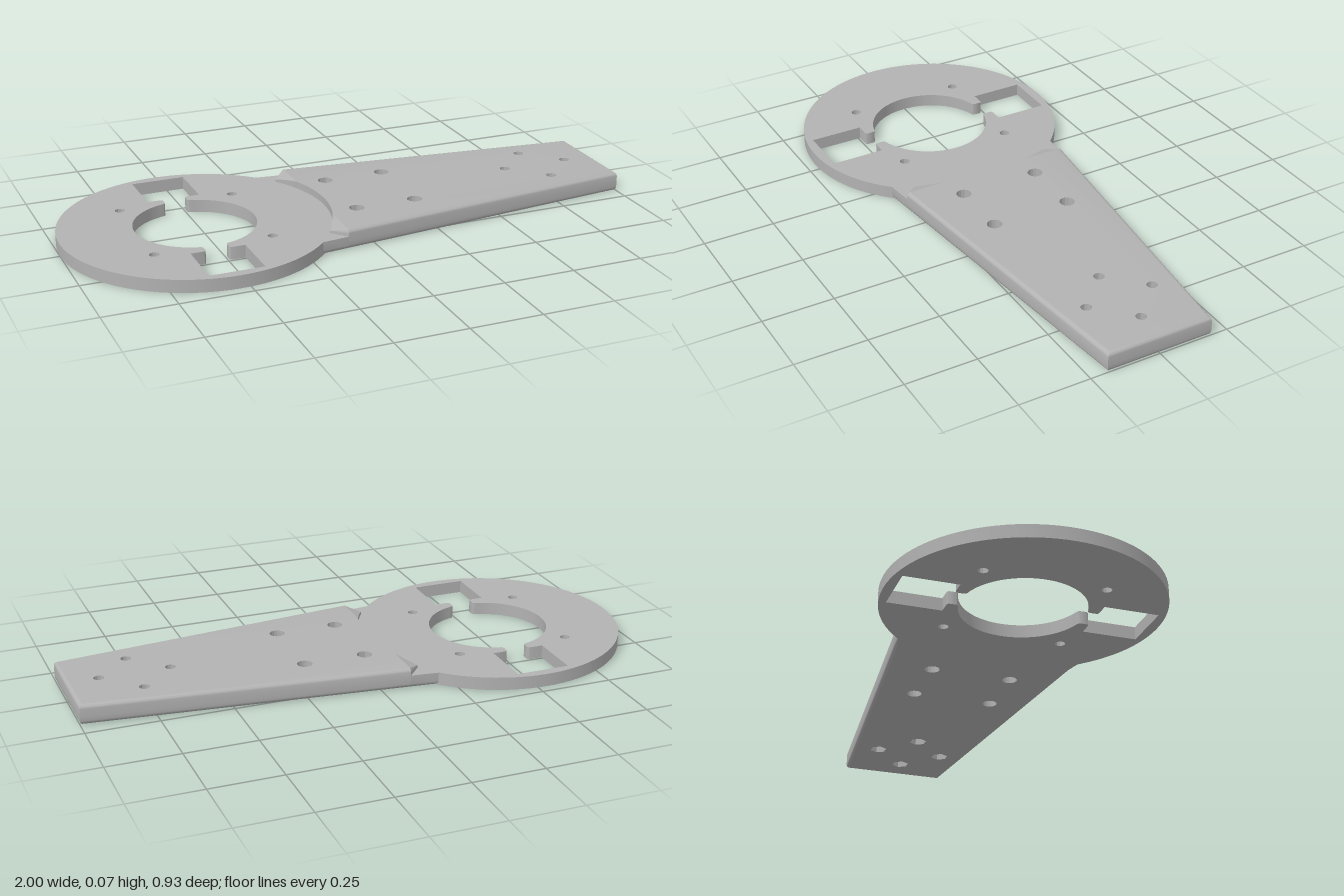
import * as THREE from 'three';
import { toCreasedNormals } from 'three/addons/utils/BufferGeometryUtils.js';

const CX = -0.534, R = 0.466;            // ring centre and outer radius
const RING_H = 0.045, ARM_H = 0.07, POCKET = 0.028, ROUND = 0.014;
const halfWidth = (x) => 0.322 - 0.11 * (x + 0.2);

// how far the arm's rounded rim is set in at height y
function inset(y) {
  const d = Math.max(ROUND - y, y - (ARM_H - ROUND), 0);
  return ROUND - Math.sqrt(Math.max(ROUND * ROUND - d * d, 0));
}

// extrude a plan outline through the given heights, rounding the arm's rim
function slab(shape, levels, rounded, topRule) {
  const geo = new THREE.ExtrudeGeometry(shape, {
    depth: levels.length - 1, steps: levels.length - 1, bevelEnabled: false, curveSegments: 48,
  });
  geo.rotateX(-Math.PI / 2);
  const p = geo.attributes.position;
  for (let i = 0; i < p.count; i++) {
    let x = p.getX(i), z = p.getZ(i);
    let y = levels[Math.round(p.getY(i))];
    if (rounded) {
      const d = inset(y);
      if (Math.abs(Math.abs(z) - halfWidth(x)) < 1e-4) z -= Math.sign(z) * d;
      if (Math.abs(x - 1) < 1e-4) x -= d;
    }
    if (topRule) y = topRule(x, y);
    p.setXYZ(i, x, y, z);
  }
  return toCreasedNormals(geo, 0.6);
}

function circleHole(x, y, r) {
  return new THREE.Path().absarc(x, y, r, 0, Math.PI * 2, true);
}

function hexHole(x, y, r) {
  const pts = [];
  for (let i = 0; i < 6; i++) {
    const a = i * Math.PI / 3;
    pts.push(new THREE.Vector2(x + r * Math.cos(a), y + r * Math.sin(a)));
  }
  return new THREE.Path(pts.concat(pts[0].clone()));
}

// ring with a bore that opens through narrow necks into two square slots
function ringShape() {
  const s = new THREE.Shape().absarc(CX, 0, R, 0, Math.PI * 2, false);
  const bore = new THREE.Path();
  const a = Math.acos(0.05 / 0.21);
  for (const k of [1, -1]) {
    const X = (v) => CX + k * v, Y = (v) => k * v;
    const start = k === 1 ? -a : Math.PI - a;
    bore.absarc(CX, 0, 0.21, start, start + 2 * a, false);
    bore.quadraticCurveTo(X(0.04), Y(0.206), X(0.04), Y(0.216));
    bore.lineTo(X(0.04), Y(0.232));
    bore.quadraticCurveTo(X(0.04), Y(0.243), X(0.05), Y(0.243));
    bore.lineTo(X(0.094), Y(0.243));
    bore.lineTo(X(0.094), Y(0.431));
    bore.lineTo(X(-0.094), Y(0.431));
    bore.lineTo(X(-0.094), Y(0.243));
    bore.lineTo(X(-0.05), Y(0.243));
    bore.quadraticCurveTo(X(-0.04), Y(0.243), X(-0.04), Y(0.232));
    bore.lineTo(X(-0.04), Y(0.216));
    bore.quadraticCurveTo(X(-0.04), Y(0.206), X(-0.05), Y(0.204));
  }
  s.holes.push(bore);
  for (const x of [-0.738, -0.33]) for (const y of [-0.205, 0.205]) s.holes.push(circleHole(x, y, 0.017));
  return s;
}

// tapered arm plan, meeting the ring along its rim
const ARC_R = R - 0.001;
const NOSE_X = -0.1;
const noseAngle = Math.acos((NOSE_X - CX) / ARC_R);

function armShape(endHole) {
  const s = new THREE.Shape();
  s.moveTo(NOSE_X, -halfWidth(NOSE_X));
  s.lineTo(1, -halfWidth(1));
  s.lineTo(1, halfWidth(1));
  s.lineTo(NOSE_X, halfWidth(NOSE_X));
  s.absarc(CX, 0, ARC_R, noseAngle, -noseAngle, true);
  s.closePath();
  for (const x of [0, 0.217]) for (const y of [-0.142, 0.142]) s.holes.push(circleHole(x, y, 0.026));
  for (const [x, y] of [[0.645, 0], [0.89, 0], [0.767, 0.123], [0.767, -0.123]]) s.holes.push(endHole(x, y));
  return s;
}

// corner between ring and arm; side is +1 or -1, innerX is where the arc ends
function cornerShape(side, arcEnd, outer) {
  const s = new THREE.Shape();
  s.moveTo(NOSE_X, side * halfWidth(NOSE_X));
  for (const [x, y] of outer) s.lineTo(x, side * y);
  s.absarc(CX, 0, ARC_R, side * arcEnd, side * noseAngle, side > 0);
  s.closePath();
  return s;
}

export function createModel() {
  const group = new THREE.Group();
  const grey = new THREE.MeshStandardMaterial({ color: 0xb2b2b2 });
  grey.name = 'plain grey';
  const add = (name, geo) => {
    const mesh = new THREE.Mesh(geo, grey);
    mesh.name = name;
    group.add(mesh);
  };

  const low = [0, 0.001, 0.004, 0.008, ROUND];
  const high = low.map((v) => ARM_H - v).reverse();

  add('mountingRing', slab(ringShape(), [0, RING_H], false));

  // lower layer holds the hexagonal nut pockets, upper layer the bolt holes
  add('armLowerLayer', slab(armShape((x, y) => hexHole(x, y, 0.031)), [...low, POCKET], true));
  add('armUpperLayer', slab(armShape((x, y) => circleHole(x, y, 0.018)), [POCKET, ...high], true));

  for (const side of [1, -1]) {
    const label = side > 0 ? 'Back' : 'Front';
    // low web filling the corner beside the ring
    const webAngle = Math.acos((-0.2 - CX) / ARC_R);
    add('cornerWeb' + label, slab(
      cornerShape(side, webAngle, [[-0.2, halfWidth(-0.2)]]), [...low, RING_H], true));
    // sloping nose that rises from the web to the arm's top
    const tip = Math.acos((-0.147 - CX) / ARC_R);
    add('slopedNose' + label, slab(
      cornerShape(side, tip, [[-0.147, ARC_R * Math.sin(tip)]]), [RING_H, ...high], true,
      (x, y) => Math.min(y, ARM_H - Math.max(NOSE_X - x, 0) * 0.34)));
  }
  return group;
}
